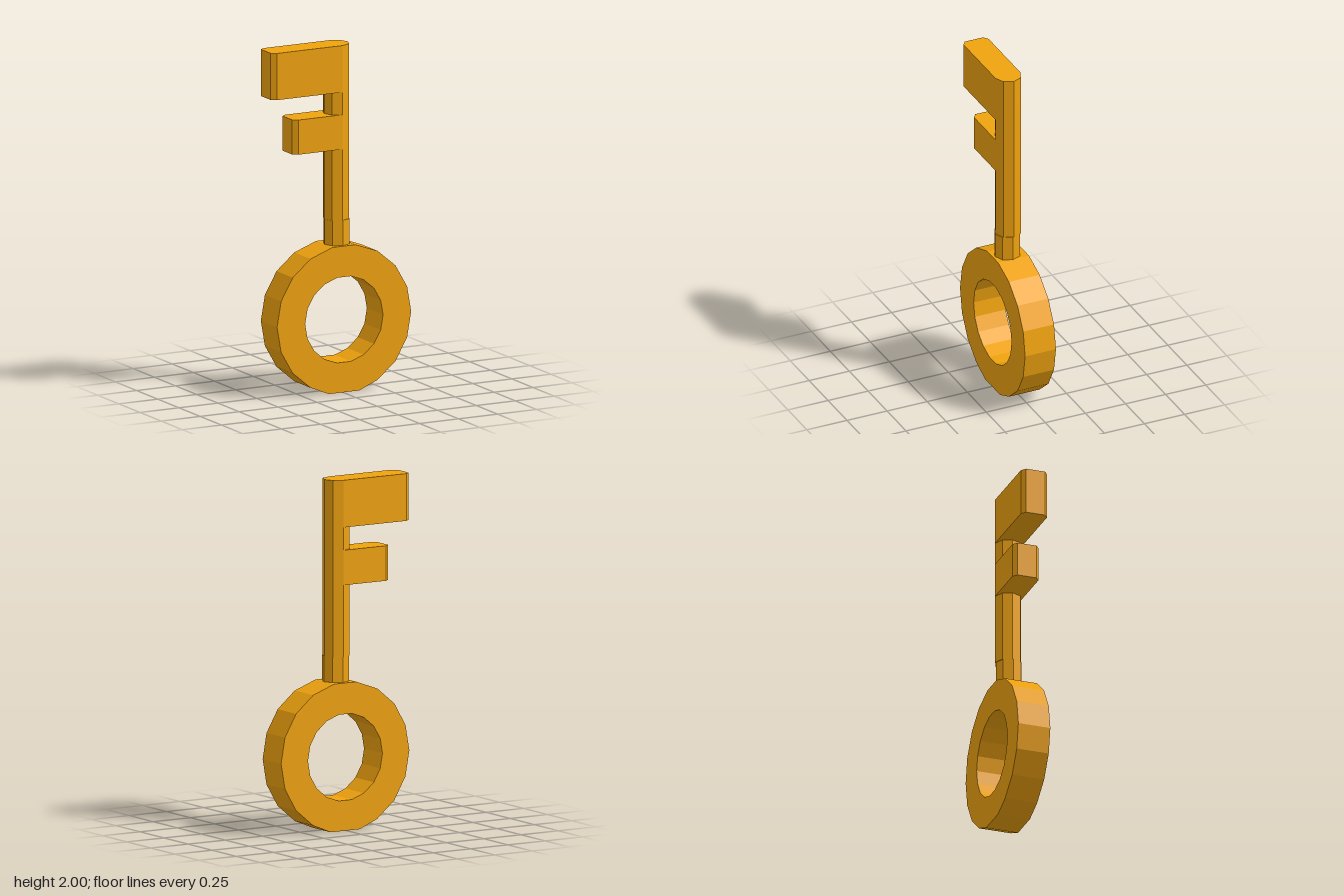
import * as THREE from 'three';

const AXIS_X = 0.0075; // shaft and ring share this centre line

// Regular polygon with a corner on +x, cut flat where it would pass below the floor
function polygon(sides, radius, cx, cy) {
  return Array.from({ length: sides }, (_, i) => {
    const a = (i / sides) * Math.PI * 2;
    return new THREE.Vector2(cx + radius * Math.cos(a), Math.max(0, cy + radius * Math.sin(a)));
  });
}

export function createModel() {
  const model = new THREE.Group();
  model.name = 'key';
  const material = new THREE.MeshStandardMaterial({ color: 0xf0a30f, flatShading: true });

  const add = (name, geometry) => {
    const mesh = new THREE.Mesh(geometry, material);
    mesh.name = name;
    model.add(mesh);
    return mesh;
  };

  // Ring handle: 18-sided band with a round opening
  const depth = 0.192;
  const ringOutline = polygon(18, 0.43, AXIS_X, 0.421);
  ringOutline[13].x -= 0.023; // widen the flat foot
  ringOutline[14].x += 0.023;
  const ringShape = new THREE.Shape(ringOutline);
  ringShape.holes.push(new THREE.Path(polygon(18, 0.25, AXIS_X, 0.42).reverse()));
  add('ringHandle', new THREE.ExtrudeGeometry(ringShape, { depth, bevelEnabled: false })
    .translate(0, 0, -depth / 2));

  // Octagonal shaft, with a slightly offset collar at its foot
  const shaft = (name, bottom, top, z) =>
    add(name, new THREE.CylinderGeometry(0.077, 0.077, top - bottom, 8))
      .position.set(AXIS_X, (bottom + top) / 2, z);
  shaft('collar', 0.78, 0.99, 0.005);
  shaft('shaft', 0.99, 2, 0);

  // Key teeth: bars with chamfered outer corners, flush with the shaft sides
  const tooth = (name, tip, bottom, top) => {
    const w = 0.078, e = 0.057, c = 0.029;
    const outline = [[AXIS_X, w], [tip + c, w], [tip, e], [tip, -e], [tip + c, -w], [AXIS_X, -w]]
      .map(([x, z]) => new THREE.Vector2(x, z));
    const geometry = new THREE.ExtrudeGeometry(new THREE.Shape(outline),
      { depth: top - bottom, bevelEnabled: false });
    add(name, geometry.rotateX(-Math.PI / 2)).position.y = bottom;
  };
  tooth('upperTooth', -0.443, 1.73, 2);
  tooth('lowerTooth', -0.305, 1.4, 1.6);

  return model;
}
